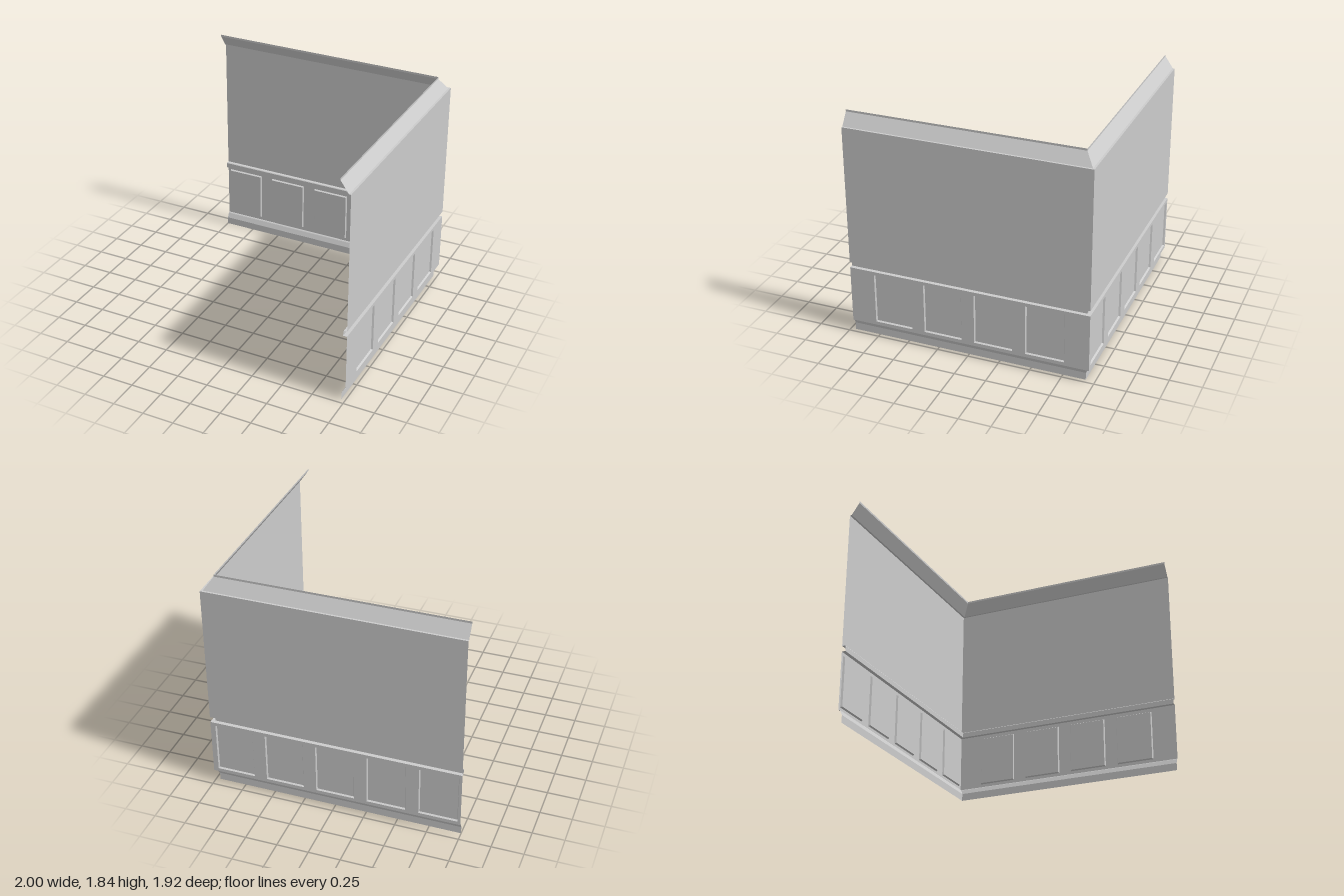
import * as THREE from 'three';

const material = new THREE.MeshStandardMaterial({ color: 0xcccccc, flatShading: true, side: THREE.DoubleSide });

// Profiles as [depth into the room, height]
const baseboard = [[0.032, 0], [0.032, 0.06], [0.014, 0.098], [0.008, 0.104], [0, 0.104]];
const chairRail = [[0, 0.568], [0.03, 0.568], [0.03, 0.608], [0.026, 0.613], [0, 0.613]];
const upperWall = [[0, 0.613], [0, 1.727]];
const crown = [[0, 1.727], [0.016, 1.727], [0.08, 1.82], [0.08, 1.836]];

const PANEL = { width: 0.306, bottom: 0.132, top: 0.54, depth: 0.014, bevel: 0.007 };

function mesh(name, geometry) {
  const m = new THREE.Mesh(geometry, material);
  m.name = name;
  return m;
}

// Builds a surface from four-cornered faces, corners counter-clockwise
function quads(faces) {
  const pos = [];
  for (const [a, b, c, d] of faces) pos.push(...a, ...b, ...c, ...a, ...c, ...d);
  const g = new THREE.BufferGeometry();
  g.setAttribute('position', new THREE.Float32BufferAttribute(pos, 3));
  g.computeVertexNormals();
  return g;
}

// Runs a profile along the wall; the end at the corner is mitred
function run(profile, half, corner) {
  const start = (d) => -half + (corner < 0 ? d : 0);
  const end = (d) => half - (corner > 0 ? d : 0);
  const faces = [];
  for (let i = 0; i < profile.length - 1; i++) {
    const [d0, y0] = profile[i], [d1, y1] = profile[i + 1];
    faces.push([[start(d0), y0, d0], [end(d0), y0, d0], [end(d1), y1, d1], [start(d1), y1, d1]]);
  }
  return quads(faces);
}

function rectangle(cx, inset, z) {
  const w = PANEL.width / 2 - inset, b = PANEL.bottom + inset, t = PANEL.top - inset;
  return [[cx - w, b, z], [cx + w, b, z], [cx + w, t, z], [cx - w, t, z]];
}

// Raised panel: bevelled rim and flat face
function panel(cx) {
  const outer = rectangle(cx, 0, 0), inner = rectangle(cx, PANEL.bevel, PANEL.depth);
  const faces = [inner];
  for (let i = 0; i < 4; i++) {
    const j = (i + 1) % 4;
    faces.push([outer[i], outer[j], inner[j], inner[i]]);
  }
  return quads(faces);
}

// Flat wainscot with an opening for every panel
function wainscot(half, centres) {
  const toPoints = (list) => list.map(([x, y]) => new THREE.Vector2(x, y));
  const shape = new THREE.Shape(toPoints([[-half, 0.104], [half, 0.104], [half, 0.568], [-half, 0.568]]));
  for (const cx of centres) shape.holes.push(new THREE.Path(toPoints(rectangle(cx, 0, 0).reverse())));
  return new THREE.ShapeGeometry(shape);
}

function wall(name, half, corner, centres) {
  const g = new THREE.Group();
  g.name = name;
  g.add(
    mesh('baseboard', run(baseboard, half, corner)),
    mesh('wainscot', wainscot(half, centres)),
    mesh('chairRail', run(chairRail, half, corner)),
    mesh('upperWall', run(upperWall, half, corner)),
    mesh('crownMoulding', run(crown, half, corner))
  );
  for (const cx of centres) g.add(mesh('raisedPanel', panel(cx)));
  return g;
}

export function createModel() {
  const model = new THREE.Group();
  model.name = 'panelledRoomCorner';

  const back = wall('backWall', 1, 1, [-2, -1, 0, 1, 2].map((i) => -0.009 + i * 0.408));
  back.position.z = -0.96;

  const side = wall('sideWall', 0.96, -1, [-1.5, -0.5, 0.5, 1.5].map((i) => -0.004 + i * 0.408));
  side.rotation.y = -Math.PI / 2;
  side.position.x = 1;

  model.add(back, side);
  return model;
}
